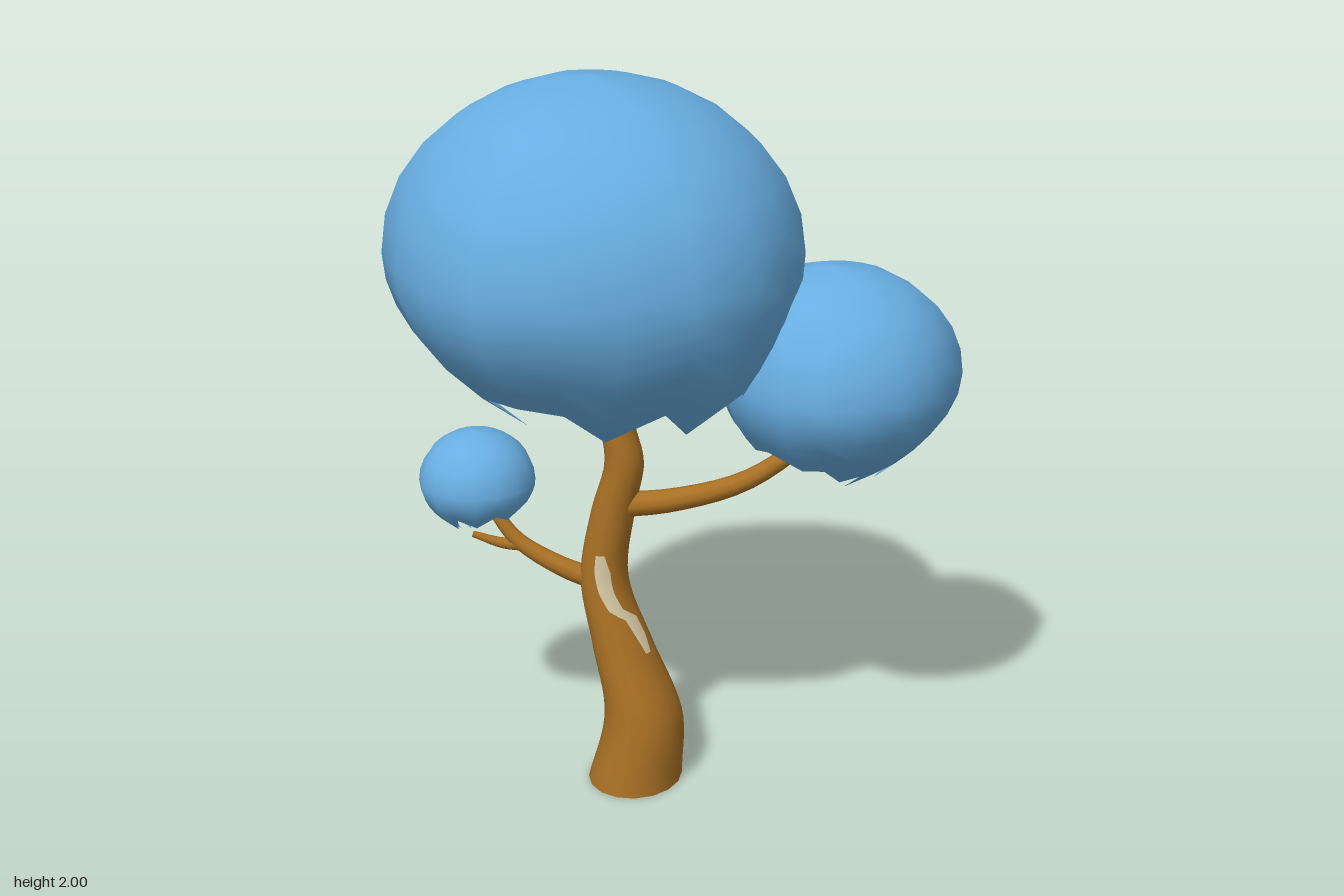
import * as THREE from 'three';

const leafBlue = new THREE.MeshStandardMaterial({ color: 0x68aee2, side: THREE.DoubleSide });
leafBlue.name = 'leafBlue';
const barkBrown = new THREE.MeshStandardMaterial({ color: 0xa87024 });
barkBrown.name = 'barkBrown';
const bareWood = new THREE.MeshStandardMaterial({ color: 0xd8caa6, side: THREE.DoubleSide });
bareWood.name = 'bareWood';

const rad = THREE.MathUtils.degToRad;

function seeded(seed) {
  return () => (seed = (seed * 16807) % 2147483647) / 2147483647;
}

// Surface through a grid of points; closed grids wrap their last column to the first
function gridGeometry(rows, cols, closed, point) {
  const positions = [], index = [];
  for (let r = 0; r <= rows; r++)
    for (let c = 0; c < cols; c++) positions.push(...point(r, c));
  for (let r = 0; r < rows; r++)
    for (let c = 0; c < (closed ? cols : cols - 1); c++) {
      const d = (c + 1) % cols;
      const p = r * cols + c, q = r * cols + d, s = p + cols, t = q + cols;
      index.push(p, q, s, q, t, s);
    }
  const g = new THREE.BufferGeometry();
  g.setAttribute('position', new THREE.Float32BufferAttribute(positions, 3));
  g.setIndex(index);
  g.computeVertexNormals();
  return g;
}

// Trunk sections: y, centre x, half width x, centre z, half depth z
const sections = [
  [0, -0.08, 0.13, 0.015, 0.147], [0.2, -0.057, 0.107, 0.01, 0.123],
  [0.4, -0.115, 0.085, 0.012, 0.093], [0.6, -0.17, 0.065, 0.012, 0.074],
  [0.8, -0.143, 0.06, 0.012, 0.064], [0.95, -0.108, 0.053, 0.015, 0.055],
  [1.05, -0.124, 0.047, 0.02, 0.048], [1.16, -0.135, 0.035, 0.028, 0.036],
  [1.26, -0.135, 0.026, 0.03, 0.026],
];
function spline(k) {
  return new THREE.CatmullRomCurve3(sections.map((s) => new THREE.Vector3(s[0], s[k], s[k + 1])));
}
const xCurve = spline(1), zCurve = spline(3);

// Trunk surface point at height y and angle a
function trunkPoint(y, a, lift = 0) {
  let i = 0;
  while (i < sections.length - 2 && y > sections[i + 1][0]) i++;
  let lo = i / (sections.length - 1), hi = (i + 1) / (sections.length - 1);
  for (let n = 0; n < 24; n++) {
    const m = (lo + hi) / 2;
    if (xCurve.getPoint(m).x < y) lo = m; else hi = m;
  }
  const px = xCurve.getPoint(lo), pz = zCurve.getPoint(lo);
  return [px.y + (px.z + lift) * Math.cos(a), y, pz.y + (pz.z + lift) * Math.sin(a)];
}

// Worn patch following the trunk; rows are [y, start angle, end angle]
function barkPatch(rows) {
  const steps = 4, across = 5;
  return gridGeometry((rows.length - 1) * steps, across, false, (r, c) => {
    const i = Math.min(Math.floor(r / steps), rows.length - 2), f = r / steps - i;
    const [y, a0, a1] = rows[i].map((v, k) => THREE.MathUtils.lerp(v, rows[i + 1][k], f));
    return trunkPoint(y, rad(a0 + ((a1 - a0) * c) / (across - 1)), 0.003);
  });
}

// Tube along a curve with tapering radius
function branchGeometry(points, r0, r1) {
  const curve = new THREE.CatmullRomCurve3(points.map((p) => new THREE.Vector3(...p)));
  const seg = 14, sides = 10;
  const g = new THREE.TubeGeometry(curve, seg, 1, sides, false);
  const pos = g.attributes.position, v = new THREE.Vector3();
  for (let i = 0; i < pos.count; i++) {
    const t = Math.floor(i / (sides + 1)) / seg, c = curve.getPointAt(t);
    v.fromBufferAttribute(pos, i).sub(c).multiplyScalar(r0 + (r1 - r0) * t).add(c);
    pos.setXYZ(i, v.x, v.y, v.z);
  }
  return g;
}

// Rim depths alternating between notches and points, deeper towards an angle
function raggedRim(cols, notch, point, tilt, tiltDir, seed) {
  const rand = seeded(seed);
  return Array.from({ length: cols }, (_, c) => (c % 2 ? point : notch) * (1 + (rand() - 0.5) * 0.16)
    + tilt * Math.cos((c / cols) * Math.PI * 2 - rad(tiltDir)));
}

// Leaf crown: a dome with one radius and rim depth per column, open below.
// curl: how far the rim draws in at depth reach, with curlBias more towards curlDir.
function crownGeometry({ centre, radii, rim, up, reach, curl, curlBias, curlDir }) {
  const upper = 7, lower = 5, cols = radii.length;
  return gridGeometry(upper + lower, cols, true, (r, c) => {
    const a = (c / cols) * Math.PI * 2;
    const phi = (Math.PI / 2) * Math.min(r / upper, 1);
    const drop = rim[c] * Math.max(r - upper, 0) / lower;
    const k = curl + curlBias * Math.cos(a - rad(curlDir));
    const out = radii[c] * (Math.sin(phi) - k * (drop / reach) ** 2);
    return [centre[0] + out * Math.cos(a), centre[1] + up * Math.cos(phi) - drop,
      centre[2] + out * Math.sin(a)];
  });
}

export function createModel() {
  const tree = new THREE.Group();
  tree.name = 'tree';
  const add = (name, geometry, material) => {
    const mesh = new THREE.Mesh(geometry, material);
    mesh.name = name;
    tree.add(mesh);
  };

  // Trunk with its cut base
  const rings = 42, sides = 16, top = 1.26;
  add('trunk', gridGeometry(rings, sides, true,
    (r, c) => trunkPoint((top * r) / rings, -(c / sides) * Math.PI * 2)), barkBrown);
  const base = new THREE.CircleGeometry(1, sides);
  base.rotateX(Math.PI / 2).scale(0.13, 1, 0.147).translate(-0.08, 0, 0.015);
  add('trunkBase', base, bareWood);

  // Worn patches in the bark
  add('longBarkPatch', barkPatch([[0.4, 10, 22], [0.45, 5, 30], [0.5, 8, 38],
    [0.53, 35, 66], [0.58, 46, 80], [0.64, 52, 90], [0.69, 70, 92]]), bareWood);
  add('frontBarkPatch', barkPatch([[1.11, 70, 85], [1.15, 60, 100], [1.19, 62, 100]]), bareWood);
  add('backBarkPatch', barkPatch([[0.98, -85, -70], [1.01, -92, -65], [1.05, -85, -68]]), bareWood);

  // Branches
  add('leftBranch', branchGeometry([[-0.13, 0.82, 0.015], [0.02, 0.845, -0.01], [0.2, 0.9, -0.07],
    [0.33, 0.99, -0.13], [0.41, 1.08, -0.18]], 0.036, 0.02), barkBrown);
  add('upperBranch', branchGeometry([[-0.12, 1.06, 0.02], [-0.21, 1.11, 0.005],
    [-0.33, 1.21, -0.01], [-0.4, 1.33, -0.02]], 0.033, 0.022), barkBrown);
  add('rightBranch', branchGeometry([[-0.17, 0.585, 0.015], [-0.28, 0.615, 0.03],
    [-0.42, 0.685, 0.04], [-0.49, 0.77, 0.04], [-0.53, 0.83, 0.035]], 0.033, 0.015), barkBrown);
  add('twig', branchGeometry([[-0.4, 0.672, 0.038], [-0.46, 0.672, 0.05],
    [-0.54, 0.695, 0.07]], 0.02, 0.009), barkBrown);

  // Leaf crowns
  add('mainCrown', crownGeometry({
    centre: [-0.19, 1.53, 0.03], up: 0.47, reach: 0.45,
    radii: [0.54, 0.55, 0.54, 0.515, 0.53, 0.545, 0.53, 0.525, 0.55,
      0.54, 0.54, 0.56, 0.535, 0.54, 0.55, 0.564, 0.555, 0.56],
    rim: [0.34, 0.43, 0.33, 0.45, 0.33, 0.32, 0.33, 0.46, 0.36,
      0.43, 0.35, 0.44, 0.34, 0.36, 0.34, 0.45, 0.38, 0.45],
    curl: 0.45, curlBias: 0.2, curlDir: 110,
  }), leafBlue);
  add('leftCrown', crownGeometry({
    centre: [0.4, 1.18, -0.245], up: 0.3, reach: 0.27,
    radii: [0.322, 0.32, 0.32, 0.315, 0.325, 0.315, 0.31, 0.31, 0.31,
      0.31, 0.32, 0.335, 0.315, 0.325, 0.34, 0.34, 0.335, 0.345],
    rim: raggedRim(18, 0.2, 0.255, 0.055, -5, 311),
    curl: 0.5, curlBias: 0.15, curlDir: 60,
  }), leafBlue);
  add('rightCrown', crownGeometry({
    centre: [-0.54, 0.845, 0.03], up: 0.145, reach: 0.125,
    radii: Array(16).fill(0.161), rim: raggedRim(16, 0.08, 0.125, 0.028, 180, 905),
    curl: 0.5, curlBias: 0, curlDir: 0,
  }), leafBlue);
  return tree;
}
